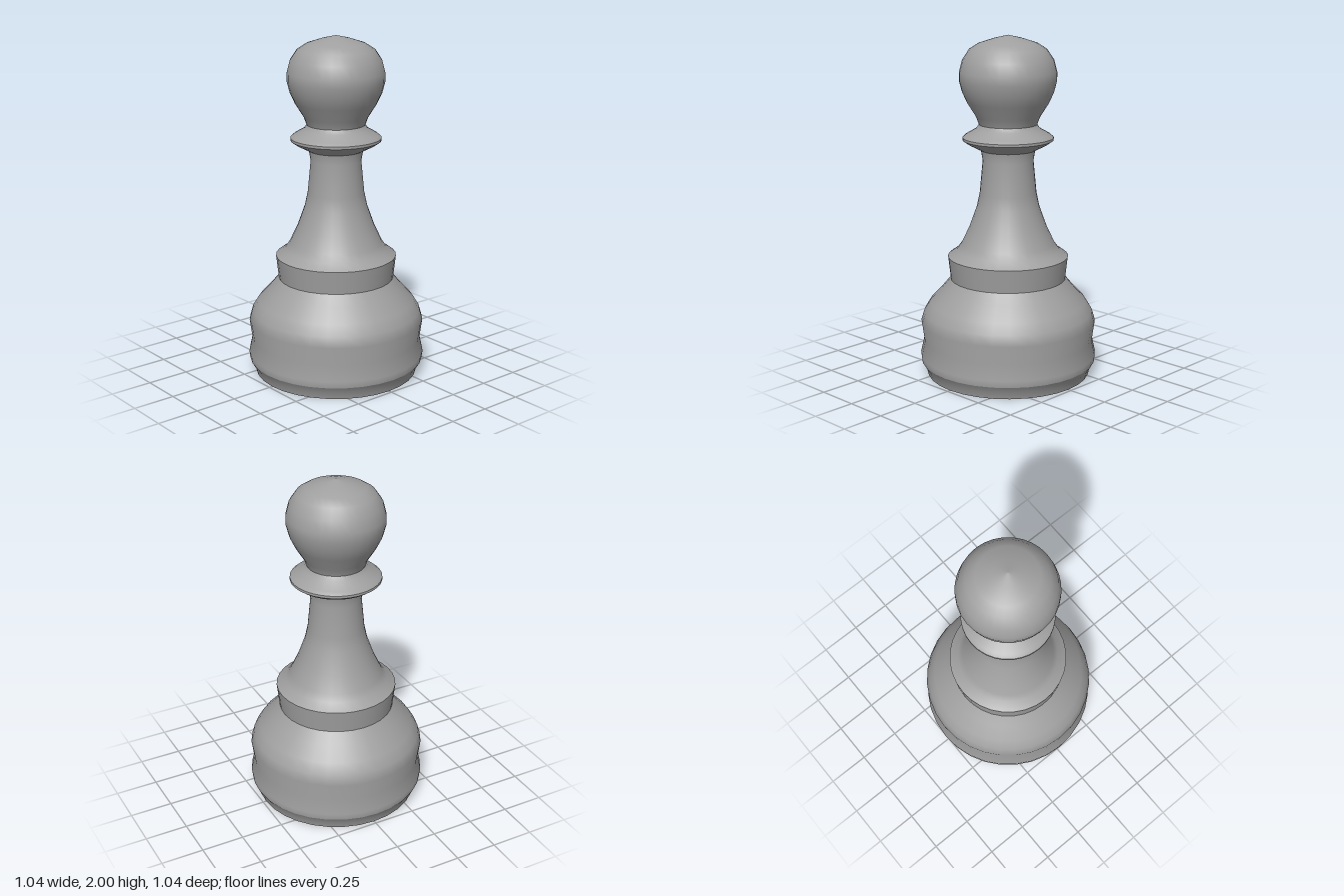
import * as THREE from 'three';

const SEGMENTS = 32;

export function createModel() {
  const model = new THREE.Group();
  model.name = 'pawn';
  const grey = new THREE.MeshStandardMaterial({ color: 0xa0a0a0, side: THREE.DoubleSide });
  grey.name = 'grey';

  // Each part is a smooth turned profile of [radius, height]; seams between parts stay sharp
  const turn = (name, profile) => {
    const points = profile.map(([r, y]) => new THREE.Vector2(r, y));
    const mesh = new THREE.Mesh(new THREE.LatheGeometry(points, SEGMENTS), grey);
    mesh.name = name;
    model.add(mesh);
  };

  // Hollow base, open underneath
  turn('foot', [[0.48, 0], [0.49, 0.04], [0.515, 0.08]]);
  turn('base', [
    [0.515, 0.08], [0.52, 0.12], [0.5, 0.21], [0.515, 0.32], [0.497, 0.38],
    [0.46, 0.44], [0.39, 0.515], [0.338, 0.578],
  ]);
  turn('band', [[0.338, 0.578], [0.353, 0.713]]);

  // Flared stem
  turn('stem', [
    [0.353, 0.713], [0.3, 0.75], [0.272, 0.79], [0.225, 0.89], [0.182, 1.01],
    [0.165, 1.09], [0.147, 1.28], [0.157, 1.34],
  ]);

  // Thin collar
  turn('collarUnderside', [[0.157, 1.34], [0.235, 1.38], [0.263, 1.4]]);
  turn('collarRim', [[0.263, 1.4], [0.263, 1.415]]);
  turn('collarTop', [[0.263, 1.415], [0.243, 1.432], [0.185, 1.465], [0.168, 1.49]]);

  // Rounded head rising to a slight point
  turn('head', [
    [0.168, 1.49], [0.185, 1.535], [0.235, 1.615], [0.263, 1.675], [0.28, 1.74],
    [0.28, 1.79], [0.262, 1.86], [0.222, 1.92], [0.17, 1.953], [0.08, 1.982], [0, 2],
  ]);

  return model;
}
